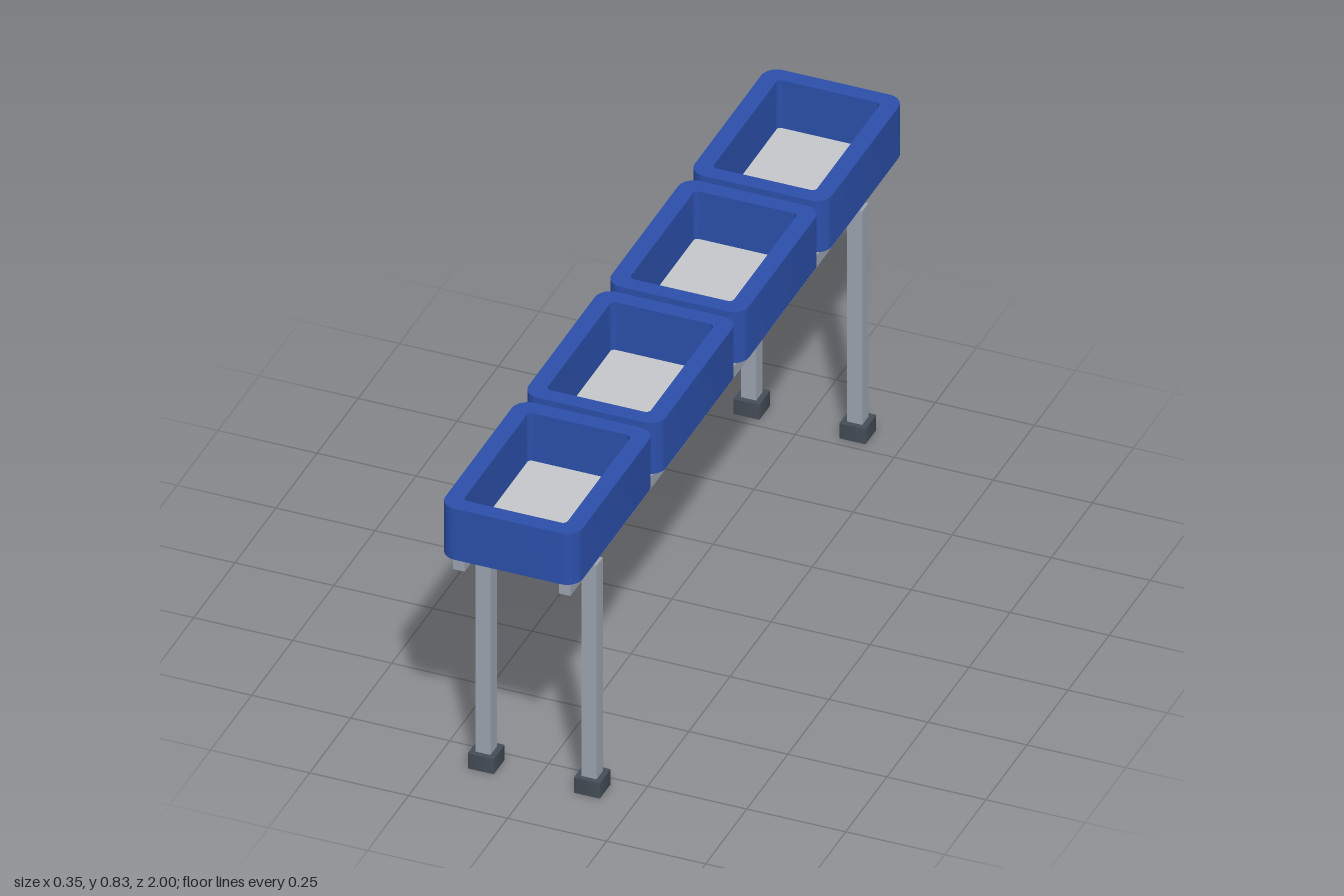
import * as THREE from 'three';
import { toCreasedNormals } from 'three/addons/utils/BufferGeometryUtils.js';

const mat = (name, color) => Object.assign(new THREE.MeshStandardMaterial({ color }), { name });

// Rounded rectangle outline, centred on the origin
function roundedRect(w, d, r, Target = THREE.Shape) {
  const s = new Target(), x = w / 2, y = d / 2;
  s.moveTo(-x + r, -y);
  s.lineTo(x - r, -y);
  s.absarc(x - r, -y + r, r, -Math.PI / 2, 0);
  s.lineTo(x, y - r);
  s.absarc(x - r, y - r, r, 0, Math.PI / 2);
  s.lineTo(-x + r, y);
  s.absarc(-x + r, y - r, r, Math.PI / 2, Math.PI);
  s.lineTo(-x, -y + r);
  s.absarc(-x + r, -y + r, r, Math.PI, Math.PI * 1.5);
  return s;
}

// Extrude an outline upwards from y0 to y1
function slab(shape, y0, y1) {
  const g = new THREE.ExtrudeGeometry(shape, { depth: y1 - y0, bevelEnabled: false, curveSegments: 8 });
  g.rotateX(-Math.PI / 2).translate(0, y0, 0);
  return toCreasedNormals(g, 0.6);
}

export function createModel() {
  const model = new THREE.Group();
  const blue = mat('blue plastic', 0x2b4fa9);
  const pale = mat('pale base', 0xc5c6ca);
  const metal = mat('grey metal', 0x9ca3af);
  const dark = mat('dark rubber', 0x444c56);

  const add = (parent, name, geo, material, x = 0, y = 0, z = 0) => {
    const m = new THREE.Mesh(geo, material);
    m.name = name;
    m.position.set(x, y, z);
    parent.add(m);
  };

  // Four open trays in a row, each with a base panel
  const wall = roundedRect(0.347, 0.483, 0.04);
  wall.holes.push(roundedRect(0.26, 0.4, 0.012, THREE.Path));
  const wallGeo = slab(wall, 0.69, 0.833);
  const baseGeo = slab(roundedRect(0.257, 0.394, 0.01), 0.678, 0.702);
  for (let i = 0; i < 4; i++) {
    const tray = new THREE.Group();
    tray.name = 'tray' + (i + 1);
    tray.position.z = (i - 1.5) * 0.5057;
    add(tray, 'trayWalls', wallGeo, blue);
    add(tray, 'trayBase', baseGeo, pale);
    model.add(tray);
  }

  // Long rails, legs and hollow feet
  const railGeo = new THREE.BoxGeometry(0.029, 0.033, 1.95);
  const legGeo = new THREE.BoxGeometry(0.038, 0.612, 0.038);
  const foot = roundedRect(0.066, 0.066, 0.002);
  foot.holes.push(roundedRect(0.038, 0.038, 0.001, THREE.Path));
  const footGeo = slab(foot, 0, 0.042);
  for (const side of [-1, 1]) {
    add(model, side > 0 ? 'leftRail' : 'rightRail', railGeo, metal, side * 0.1335, 0.6615, 0);
    for (const end of [-1, 1]) {
      const leg = new THREE.Group();
      leg.name = (end > 0 ? 'front' : 'back') + (side > 0 ? 'Left' : 'Right') + 'Leg';
      leg.position.set(side * 0.134, 0, end * 0.808);
      add(leg, 'post', legGeo, metal, 0, 0.334, 0);
      add(leg, 'foot', footGeo, dark);
      model.add(leg);
    }
  }
  return model;
}
